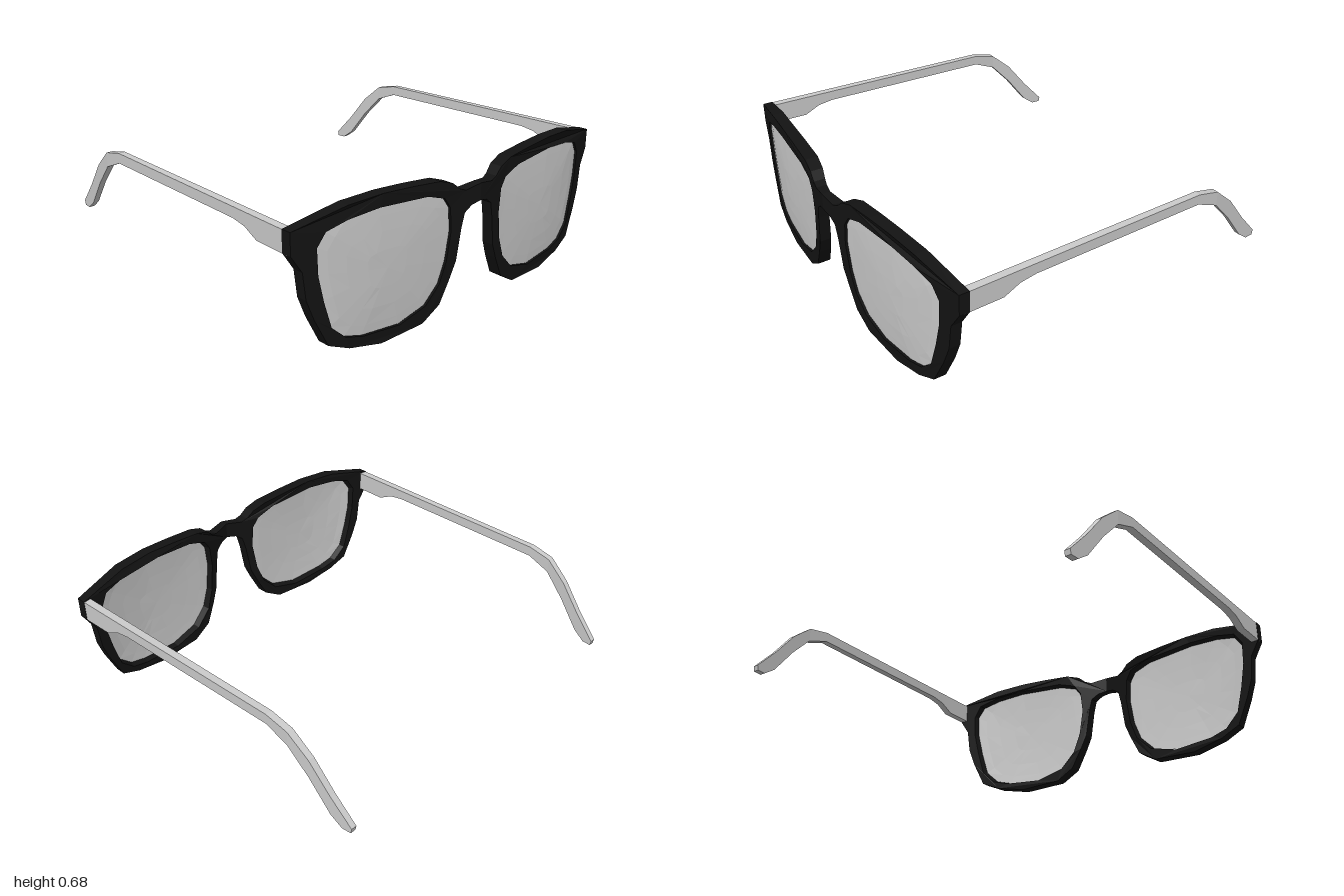
import * as THREE from 'three';

// Half outline of the front frame (bridge at x = 0), and the lens opening
const OUTER = [[0, .60], [.09, .585], [.125, .598], [.165, .632], [.24, .657], [.40, .671], [.56, .68], [.74, .672],
  [1, .615], [1, .515], [.95, .435], [.935, .31], [.90, .215], [.835, .08], [.73, .035], [.56, 0], [.32, .012], [.22, .072],
  [.165, .18], [.13, .26], [.107, .41], [.09, .48], [.05, .508], [0, .518]];
const LENS = [[.885, .523], [.845, .583], [.74, .61], [.58, .623], [.31, .605], [.21, .572], [.176, .523], [.166, .413],
  [.187, .273], [.225, .173], [.305, .093], [.455, .053], [.66, .068], [.75, .093], [.82, .158], [.855, .283], [.88, .403]];
const CX = .53, CY = .345; // middle of the lens opening
// Side profile of an arm as (z, y)
const ARM = [[.79, .613], [-.48, .613], [-.6, .587], [-.71, .495], [-.82, .36], [-.93, .242], [-.925, .217], [-.88, .217],
  [-.82, .26], [-.71, .40], [-.6, .515], [-.48, .562], [.44, .562], [.52, .55], [.6, .512], [.79, .512]];

// Curves as (position, value) stations, read with linear interpolation
const FRONT_Z = [[0, .932], [.2, .906], [.6, .879], [.8, .856], [1, .815]];
const BACK_Z = [[0, .89], [.2, .84], [.6, .82], [.8, .795], [1, .765]];
const ARM_X = [[-.93, .907], [-.6, .939], [.79, .979]];
const ARM_HALF = [[-.93, .014], [-.6, .017], [.79, .02]];

function sample(stations, v) {
  let i = 1;
  while (i < stations.length - 1 && v > stations[i][0]) i++;
  const [a, b] = [stations[i - 1], stations[i]];
  return THREE.MathUtils.mapLinear(v, a[0], b[0], a[1], b[1]);
}

const points = (list, s) => list.map(([x, y]) => new THREE.Vector2(x * s, y));

function bend(geometry, rule) {
  const p = geometry.attributes.position, v = new THREE.Vector3();
  for (let i = 0; i < p.count; i++) {
    rule(v.fromBufferAttribute(p, i));
    p.setXYZ(i, v.x, v.y, v.z);
  }
  geometry.computeVertexNormals();
  return geometry;
}

// Half of the frame, wrapped backwards towards the hinge; the opening widens at the back
function frameHalf(s) {
  const shape = new THREE.Shape(points(OUTER, s));
  shape.holes.push(new THREE.Path(points(LENS, s)));
  const g = new THREE.ExtrudeGeometry(shape, { depth: 1, bevelEnabled: false });
  return bend(g, v => {
    const inOpening = LENS.some(([x, y]) => Math.hypot(x - v.x * s, y - v.y) < 1e-4);
    if (inOpening && v.z < .5) {
      v.x = s * (CX + (v.x * s - CX) * 1.05);
      v.y = CY + (v.y - CY) * 1.05;
    }
    const x = Math.abs(v.x);
    v.z = THREE.MathUtils.lerp(sample(BACK_Z, x), sample(FRONT_Z, x), v.z);
  });
}

// Lens face: concentric rings of the opening, gently domed
function lens(s, size, setback) {
  const rings = [1, .85, .6, .3, 0], n = LENS.length, pos = [], index = [];
  for (const k of rings) for (const [px, py] of LENS) {
    const x = CX + (px - CX) * k * size, y = CY + (py - CY) * k * size;
    pos.push(s * x, y, sample(FRONT_Z, x) - setback + .01 * (1 - k * k));
  }
  for (let r = 0; r < rings.length - 1; r++) for (let i = 0; i < n; i++) {
    const a = r * n + i, b = r * n + (i + 1) % n, c = a + n, d = b + n;
    const quad = r === rings.length - 2 ? [a, b, c] : [a, b, c, b, d, c];
    index.push(...(s > 0 ? quad : quad.reverse()));
  }
  const g = new THREE.BufferGeometry();
  g.setAttribute('position', new THREE.Float32BufferAttribute(pos, 3));
  g.setIndex(index);
  g.computeVertexNormals();
  return g;
}

// Arm: side profile given a thin width, drawn inwards towards the tip
function arm(s) {
  const shape = new THREE.Shape(ARM.map(([z, y]) => new THREE.Vector2(-z, y)));
  const g = new THREE.ExtrudeGeometry(shape, { depth: 1, bevelEnabled: false });
  g.rotateY(Math.PI / 2);
  return bend(g, v => {
    v.x = s * sample(ARM_X, v.z) + (v.x - .5) * 2 * sample(ARM_HALF, v.z);
  });
}

export function createModel() {
  const group = new THREE.Group();
  const black = new THREE.MeshStandardMaterial({ color: 0x131313, flatShading: true });
  const grey = new THREE.MeshStandardMaterial({ color: 0xcccccc, flatShading: true });
  const glass = new THREE.MeshStandardMaterial({ color: 0xcccccc, flatShading: true, side: THREE.DoubleSide });
  const add = (name, geometry, material) => {
    const mesh = new THREE.Mesh(geometry, material);
    mesh.name = name;
    group.add(mesh);
  };
  for (const [s, side] of [[1, 'left'], [-1, 'right']]) {
    add(side + 'Frame', frameHalf(s), black);
    add(side + 'LensFront', lens(s, 1, .012), glass);
    add(side + 'LensBack', lens(s, 1.02, .03), glass);
    add(side + 'Arm', arm(s), grey);
  }
  return group;
}
